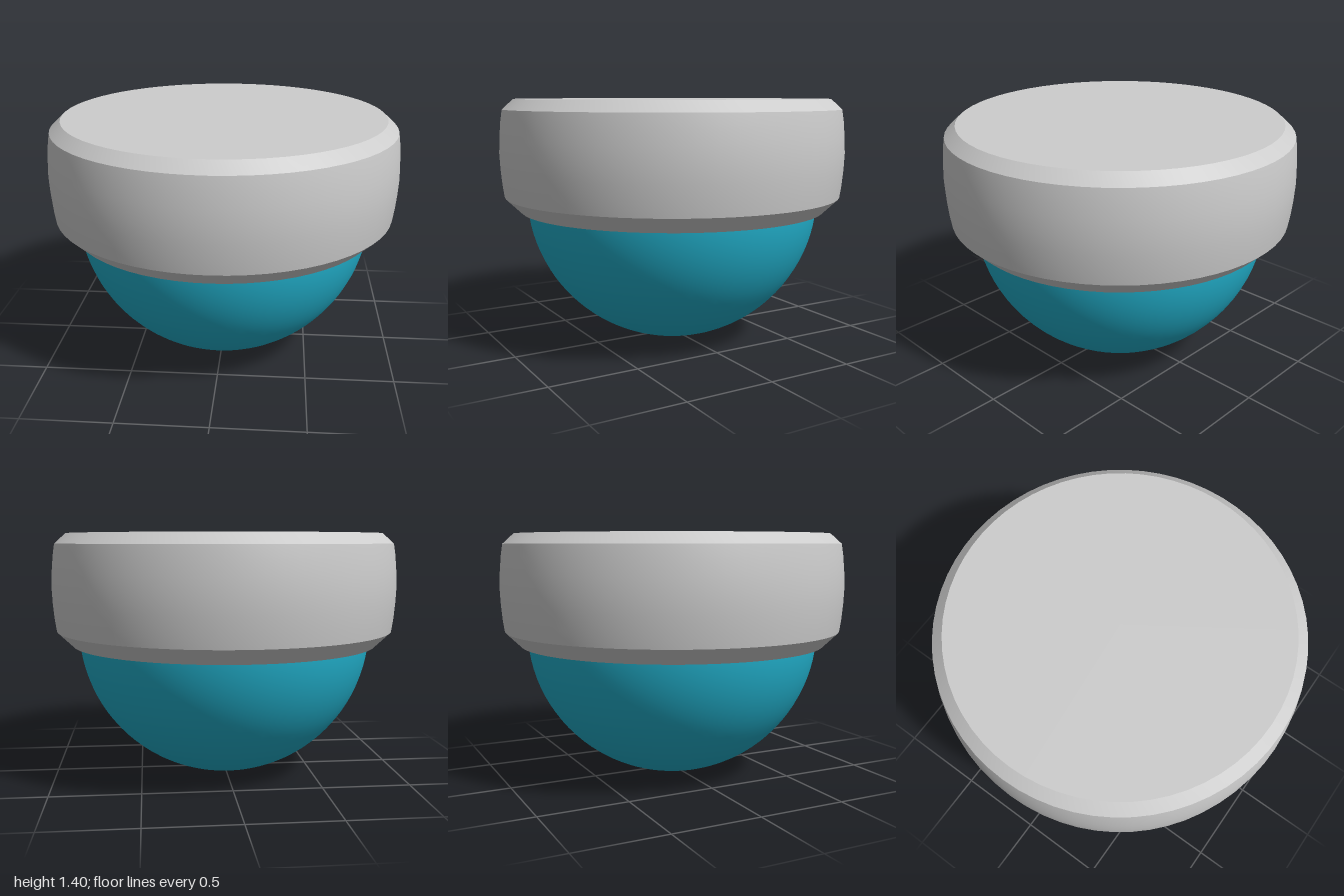
import * as THREE from 'three';
import { toCreasedNormals } from 'three/addons/utils/BufferGeometryUtils.js';

export function createModel() {
  const model = new THREE.Group();
  model.name = 'domeLamp';
  const housingGrey = new THREE.MeshStandardMaterial({ color: 0xcccccc });
  housingGrey.name = 'housing grey';
  const domeTeal = new THREE.MeshStandardMaterial({ color: 0x22b0cc });
  domeTeal.name = 'dome teal';

  // Round housing: recessed lip, chamfers and a slightly bulging side wall
  const profile = [
    [0.856, 0.85], [0.856, 0.765], [0.89, 0.765], [0.978, 0.85],
    [0.988, 0.92], [0.996, 1.01], [1, 1.1], [0.996, 1.19], [0.988, 1.28],
    [0.978, 1.345], [0.915, 1.403], [0, 1.403],
  ].map(([x, y]) => new THREE.Vector2(x, y));
  const housing = new THREE.Mesh(
    toCreasedNormals(new THREE.LatheGeometry(profile, 64), 0.35), housingGrey);
  housing.name = 'housing';
  model.add(housing);

  // Spherical dome, its upper half hidden inside the housing
  const radius = 0.852;
  const dome = new THREE.Mesh(
    new THREE.SphereGeometry(radius, 64, 24, 0, Math.PI * 2, Math.PI / 2, Math.PI / 2), domeTeal);
  dome.position.y = radius;
  dome.name = 'dome';
  model.add(dome);

  return model;
}
